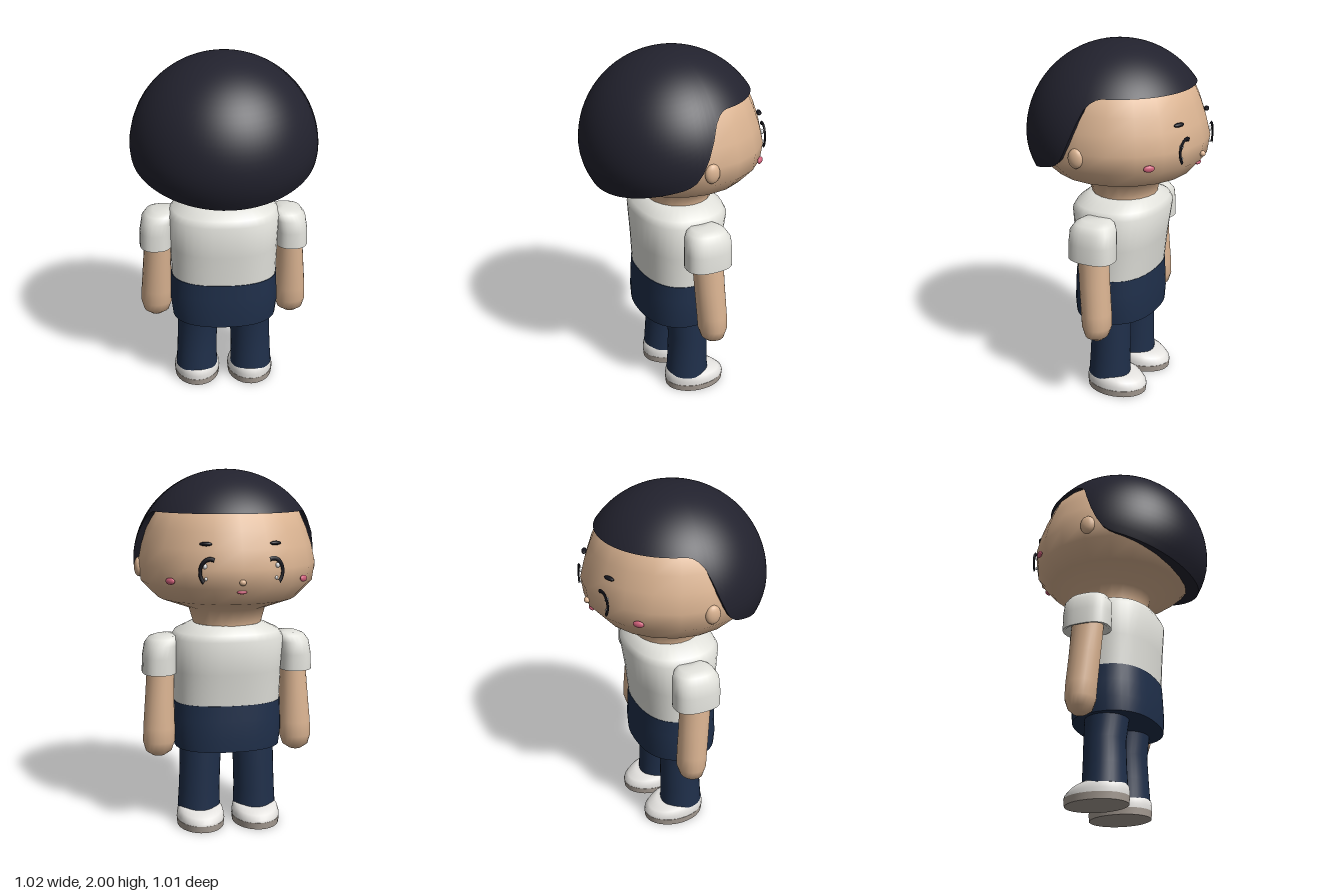
import * as THREE from 'three';
import { toCreasedNormals } from 'three/addons/utils/BufferGeometryUtils.js';

const mat = (name, color) => {
  const m = new THREE.MeshStandardMaterial({ color });
  m.name = name;
  return m;
};

// Closed tube of rows x seg points; point(row, angle) gives [x, y, z], rows run upwards
function grid(rows, seg, point, crease = 1.1) {
  const pos = [], idx = [];
  for (let j = 0; j < rows; j++) {
    for (let i = 0; i < seg; i++) pos.push(...point(j, (i / seg) * Math.PI * 2));
  }
  for (let j = 0; j < rows - 1; j++) {
    for (let i = 0; i < seg; i++) {
      const a = j * seg + i, b = j * seg + (i + 1) % seg;
      idx.push(a, a + seg, b, b, a + seg, b + seg);
    }
  }
  const g = new THREE.BufferGeometry();
  g.setAttribute('position', new THREE.Float32BufferAttribute(pos, 3));
  g.setIndex(idx);
  return toCreasedNormals(g, crease);
}

// Loft through sections [y, centreX, centreZ, radiusX, radiusZ]; power > 2 squares the outline
function loft(sections, seg = 32, power = 2, crease = 1.1) {
  const round = v => Math.sign(v) * Math.abs(v) ** (2 / power);
  return grid(sections.length, seg, (j, a) => {
    const [y, cx, cz, rx, rz] = sections[j];
    return [cx + rx * round(Math.cos(a)), y, cz + rz * round(Math.sin(a))];
  }, crease);
}

// Hair edge height by direction: -1 is the face side, 1 the back of the head
const HAIRLINE = [[-1, 1.78], [-0.26, 1.78], [-0.16, 1.77], [-0.07, 1.73], [0.02, 1.63],
  [0.1, 1.52], [0.19, 1.445], [0.28, 1.41], [1, 1.295]];
function hairEdge(s) {
  for (let i = 1; i < HAIRLINE.length; i++) {
    const [s0, y0] = HAIRLINE[i - 1], [s1, y1] = HAIRLINE[i];
    if (s <= s1) return y0 + (y1 - y0) * (s - s0) / (s1 - s0);
  }
  return 1.295;
}
const hairRadius = y => y > 1.5
  ? 0.512 * Math.sqrt(Math.max(0, 1 - ((y - 1.5) / 0.5) ** 2))
  : 0.512 - 1.5 * (1.5 - y) ** 2;

export function createModel() {
  const model = new THREE.Group();
  const skin = mat('skin', 0xdbb492), hair = mat('hair', 0x22222e), shirt = mat('shirt white', 0xe2e2dc);
  const navy = mat('trouser navy', 0x1f2f4a), shoe = mat('shoe white', 0xe8e6e3), sole = mat('sole taupe', 0xa89e95);
  const black = mat('feature black', 0x14141c), pink = mat('cheek pink', 0xd0607a), glint = mat('eye glint', 0xf4f4f4);

  const add = (name, geometry, material) => {
    const m = new THREE.Mesh(geometry, material);
    m.name = name;
    model.add(m);
    return m;
  };
  const blob = (name, material, p, s, ry = 0) => {
    const m = add(name, new THREE.SphereGeometry(1, 16, 12), material);
    m.position.set(...p);
    m.scale.set(...s);
    m.rotation.y = ry;
    return m;
  };

  // Head and neck
  add('head', loft([
    [1.12, 0, -0.035, 0.19, 0.175], [1.165, 0, -0.035, 0.19, 0.18], [1.25, 0, -0.03, 0.215, 0.2],
    [1.31, 0, -0.025, 0.385, 0.375], [1.4, 0, -0.015, 0.475, 0.465], [1.5, 0, -0.01, 0.49, 0.485],
    [1.6, 0, -0.01, 0.47, 0.46], [1.69, 0, -0.005, 0.44, 0.435], [1.78, 0, -0.005, 0.4, 0.395],
    [1.88, 0, 0, 0.28, 0.28], [1.95, 0, 0, 0, 0]], 20, 2, 1.4), skin);

  // Hair cap, with its rim turned inwards
  const rows = 26;
  add('hair', grid(rows, 96, (j, a) => {
    const s = Math.sin(a), edge = hairEdge(s);
    const t = (rows - 1 - Math.max(j, 1)) / (rows - 2);
    const y = 2 - (2 - edge) * (1 - Math.cos(t * Math.PI / 2));
    const r = hairRadius(y) * (j === 0 ? 0.8 : 1);
    return [r * Math.cos(a), y + (j === 0 ? 0.03 : 0), r * s * (s < 0 ? 0.975 : 0.99)];
  }), hair);

  // Nose and mouth
  blob('nose', skin, [0, 1.437, -0.492], [0.018, 0.016, 0.016]);
  blob('mouth', pink, [0, 1.385, -0.468], [0.026, 0.01, 0.012]);

  // Shirt body, squared slightly at the shoulders
  add('shirt', loft([
    [0.72, 0, -0.013, 0, 0], [0.72, 0, -0.013, 0.3, 0.217], [0.9, 0, -0.018, 0.305, 0.232],
    [1.085, 0, -0.025, 0.315, 0.253], [1.12, 0, -0.026, 0.29, 0.235],
    [1.165, 0, -0.03, 0.195, 0.182], [1.165, 0, -0.03, 0, 0]], 36, 2.4), shirt);

  // Hips of the trousers
  add('trouserHips', loft([
    [0.46, 0, -0.012, 0, 0], [0.46, 0, -0.012, 0.298, 0.225], [0.54, 0, -0.012, 0.308, 0.229],
    [0.63, 0, -0.012, 0.306, 0.225], [0.722, 0, -0.012, 0.303, 0.22], [0.722, 0, -0.012, 0, 0]], 36, 2.4), navy);

  for (const [side, k] of [['left', -1], ['right', 1]]) {
    // Trouser leg
    add(side + 'TrouserLeg', loft([
      [0.09, k * 0.162, -0.02, 0, 0], [0.09, k * 0.162, -0.02, 0.122, 0.12], [0.2, k * 0.16, -0.022, 0.117, 0.115],
      [0.34, k * 0.155, -0.025, 0.116, 0.112], [0.48, k * 0.15, -0.015, 0.12, 0.12]]), navy);

    // Shoe upper dips towards the toe, on a flat sole
    const upper = loft([
      [0.038, k * 0.16, -0.067, 0.134, 0.177], [0.06, k * 0.16, -0.065, 0.134, 0.176],
      [0.09, k * 0.16, -0.055, 0.127, 0.162], [0.105, k * 0.16, -0.035, 0.115, 0.13], [0.105, k * 0.16, -0.02, 0, 0]]);
    const p = upper.attributes.position;
    for (let i = 0; i < p.count; i++) {
      const y = p.getY(i);
      p.setY(i, y - Math.max(0, -0.12 - p.getZ(i)) * Math.max(0, y - 0.04) * 4);
    }
    add(side + 'Shoe', upper, shoe);
    add(side + 'Sole', loft([
      [0, k * 0.16, -0.067, 0, 0], [0, k * 0.16, -0.067, 0.132, 0.174],
      [0.038, k * 0.16, -0.067, 0.136, 0.178], [0.038, k * 0.16, -0.067, 0, 0]]), sole);

    // Arm with rounded hand end
    add(side + 'Arm', loft([
      [0.415, k * 0.395, -0.062, 0, 0], [0.42, k * 0.395, -0.062, 0.035, 0.035], [0.445, k * 0.394, -0.062, 0.073, 0.063],
      [0.5, k * 0.392, -0.062, 0.09, 0.081], [0.58, k * 0.39, -0.058, 0.089, 0.083],
      [0.75, k * 0.384, -0.045, 0.081, 0.085], [0.95, k * 0.375, -0.032, 0.075, 0.088]], 20), skin);

    // Puffed sleeve
    add(side + 'Sleeve', loft([
      [0.92, k * 0.385, -0.033, 0.07, 0.08], [0.89, k * 0.385, -0.033, 0.085, 0.115],
      [0.89, k * 0.385, -0.033, 0.094, 0.131], [0.98, k * 0.382, -0.033, 0.094, 0.131],
      [1.05, k * 0.372, -0.033, 0.092, 0.127], [1.085, k * 0.355, -0.033, 0.085, 0.105],
      [1.1, k * 0.34, -0.033, 0.06, 0.075], [1.1, k * 0.34, -0.033, 0, 0]], 28, 2.5), shirt);

    // Ear, cheek and brow
    blob(side + 'Ear', skin, [k * 0.485, 1.475, 0.005], [0.025, 0.053, 0.042]);
    blob(side + 'Cheek', pink, [k * 0.355, 1.435, -0.348], [0.03, 0.018, 0.012], -k * 0.8);
    blob(side + 'Brow', black, [k * 0.182, 1.632, -0.432], [0.034, 0.011, 0.014], -k * 0.4);

    // Eye: outer lash arc and two glints
    const lash = add(side + 'EyeLash', new THREE.TorusGeometry(0.052, 0.009, 6, 24, 2.9), black);
    lash.geometry.rotateZ(-0.9);
    lash.geometry.scale(k, 1.3, 0.6);
    if (k < 0) {
      // Mirroring turns the faces inside out, so swap their corners
      const ix = lash.geometry.index;
      for (let i = 0; i < ix.count; i += 3) {
        const a = ix.getX(i);
        ix.setX(i, ix.getX(i + 1));
        ix.setX(i + 1, a);
      }
      lash.geometry.computeVertexNormals();
    }
    lash.position.set(k * 0.165, 1.49, -0.468);
    lash.rotation.y = -k * 0.2;
    blob(side + 'EyeGlintUpper', glint, [k * 0.19, 1.52, -0.452], [0.011, 0.014, 0.01]);
    blob(side + 'EyeGlintLower', glint, [k * 0.185, 1.455, -0.45], [0.008, 0.01, 0.01]);
  }
  return model;
}
